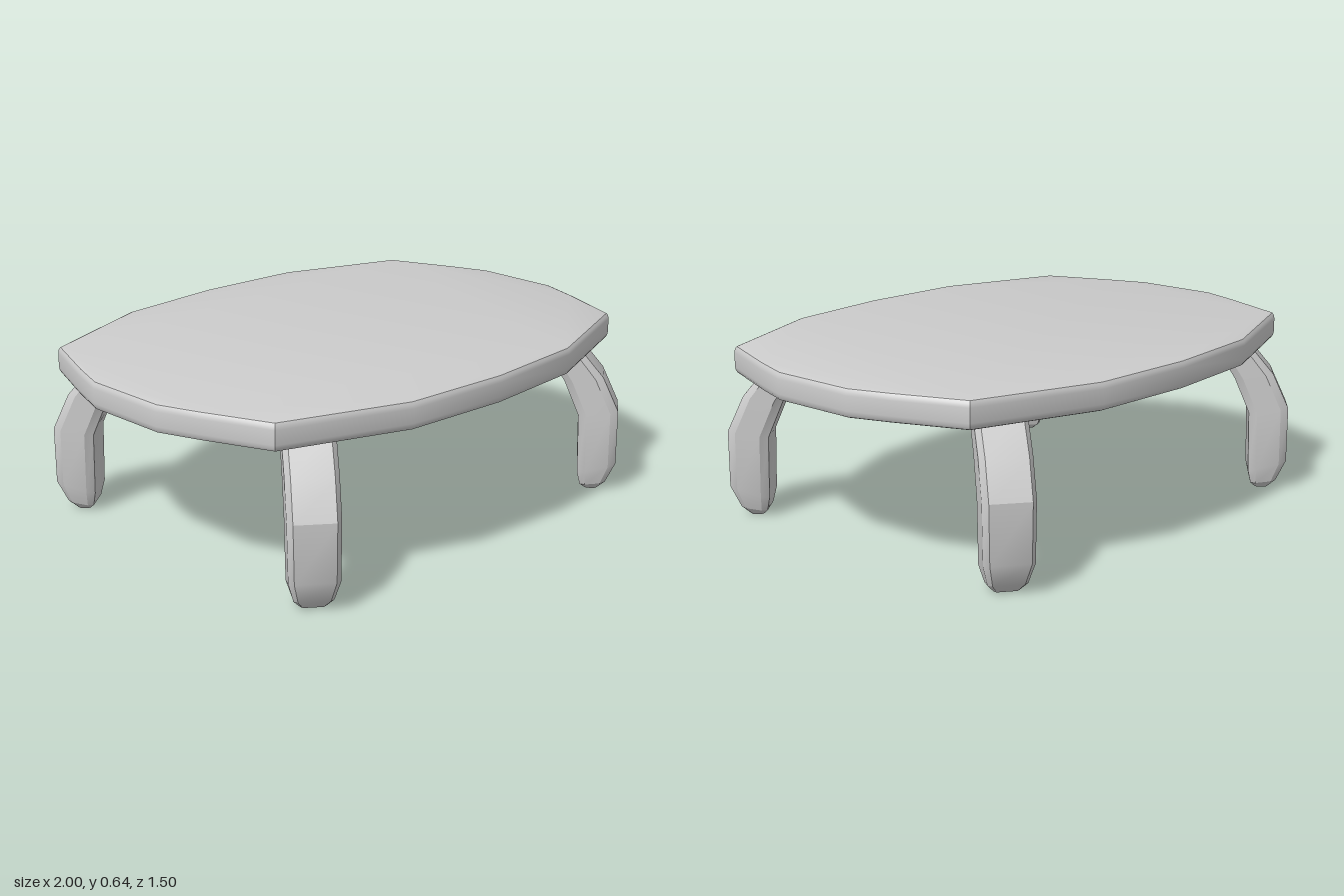
import * as THREE from 'three';
import { toCreasedNormals } from 'three/addons/utils/BufferGeometryUtils.js';

const material = new THREE.MeshStandardMaterial({ color: 0xcccccc });

// Faceted oval slab with a softly rounded rim
function tabletopGeometry() {
  const quarter = [[1, 0.16], [0.95, 0.305], [0.85, 0.555], [0.4, 0.722]];
  const flip = (sx, sy) => quarter.map(([x, y]) => [x * sx, y * sy]);
  const outline = [
    ...flip(1, 1), [0, 0.75], ...flip(-1, 1).reverse(),
    ...flip(-1, -1), [0, -0.75], ...flip(1, -1).reverse(),
  ].map(([x, y]) => new THREE.Vector2(x, y));
  const bevel = 0.025;
  const geometry = new THREE.ExtrudeGeometry(new THREE.Shape(outline), {
    depth: 0.1 - 2 * bevel,
    bevelThickness: bevel,
    bevelSize: 0.016,
    bevelOffset: -0.016,
    bevelSegments: 3,
  });
  geometry.rotateX(-Math.PI / 2).translate(0, 0.545 + bevel, 0);
  return toCreasedNormals(geometry, 0.6);
}

// Curved leg with chamfered corners; local +z points outward
function legGeometry() {
  // outer z, outer y, inner z, inner y, half width
  const sections = [
    [-0.065, 0.003, -0.11, 0.003, 0.042],
    [-0.035, 0.035, -0.128, 0.022, 0.066],
    [0, 0.115, -0.14, 0.075, 0.085],
    [0, 0.32, -0.145, 0.3, 0.088],
    [-0.06, 0.45, -0.2, 0.43, 0.088],
    [-0.16, 0.57, -0.285, 0.57, 0.088],
  ];
  // across the width, then from outer (0) to inner (1)
  const corners = [
    [-0.8, 0], [0.8, 0], [1, 0.2], [1, 0.8],
    [0.8, 1], [-0.8, 1], [-1, 0.8], [-1, 0.2],
  ];
  const n = corners.length;
  const positions = [];
  const index = [];
  for (const [zo, yo, zi, yi, half] of sections) {
    for (const [w, t] of corners) {
      positions.push(w * half, yo + (yi - yo) * t, zo + (zi - zo) * t);
    }
  }
  for (let i = 0; i < sections.length - 1; i++) {
    for (let j = 0; j < n; j++) {
      const a = i * n + j;
      const b = i * n + ((j + 1) % n);
      index.push(a, b, b + n, a, b + n, a + n);
    }
  }
  const top = (sections.length - 1) * n;
  for (let k = 1; k < n - 1; k++) {
    index.push(0, k + 1, k, top, top + k, top + k + 1);
  }
  const geometry = new THREE.BufferGeometry();
  geometry.setAttribute('position', new THREE.Float32BufferAttribute(positions, 3));
  geometry.setIndex(index);
  return toCreasedNormals(geometry, 0.42);
}

export function createModel() {
  const model = new THREE.Group();
  model.name = 'table';

  const tabletop = new THREE.Mesh(tabletopGeometry(), material);
  tabletop.name = 'tabletop';
  model.add(tabletop);

  // Four legs turned toward the corners
  const geometry = legGeometry();
  for (const sx of [1, -1]) {
    for (const sz of [1, -1]) {
      const leg = new THREE.Mesh(geometry, material);
      leg.name = (sz > 0 ? 'front' : 'back') + (sx > 0 ? 'Left' : 'Right') + 'Leg';
      leg.position.set(sx * 0.785, 0, sz * 0.665);
      leg.rotation.y = Math.atan2(sx * 0.61, sz * 0.79);
      model.add(leg);
    }
  }
  return model;
}
